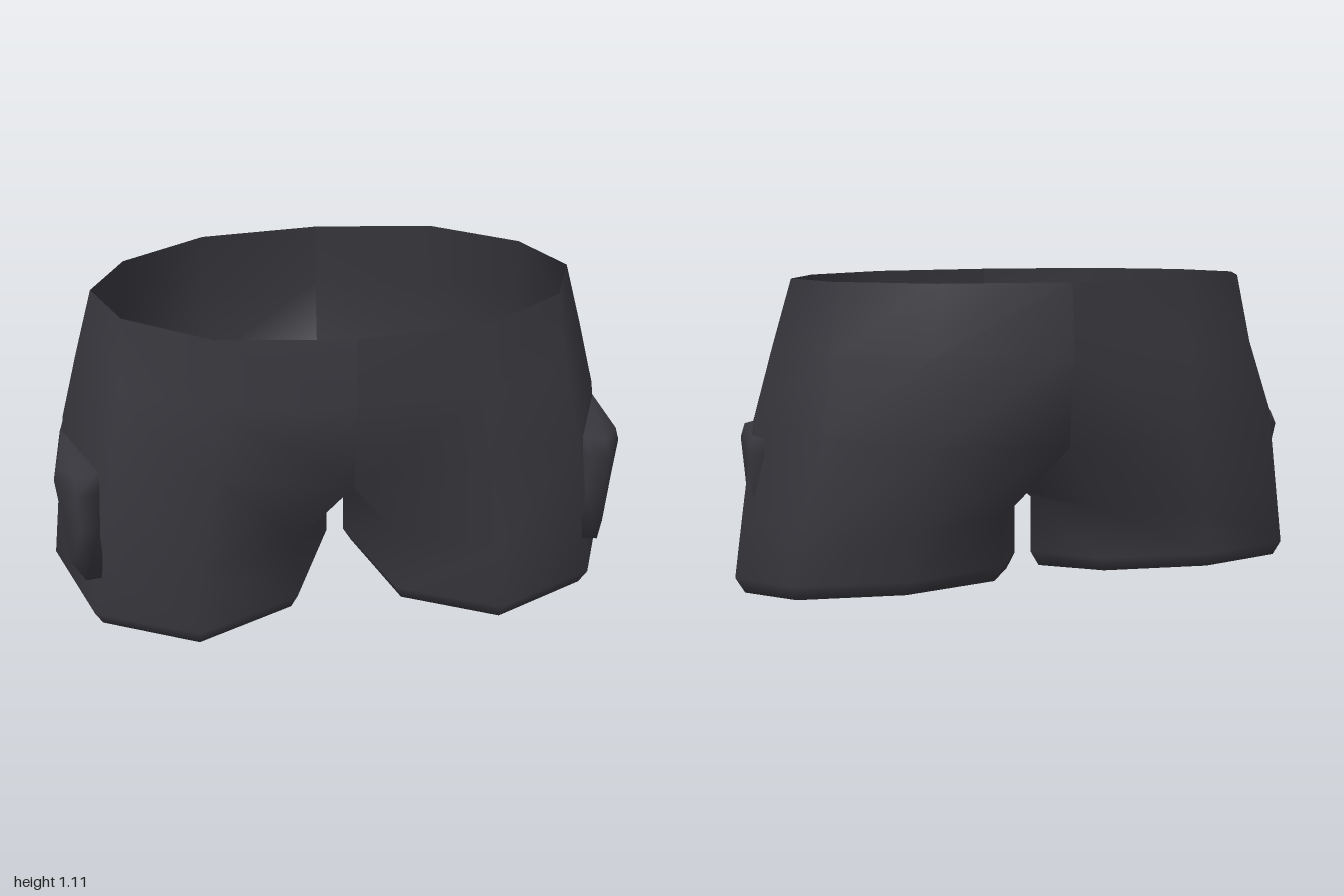
import * as THREE from 'three';

const cloth = new THREE.MeshStandardMaterial({ color: 0x36363c, side: THREE.DoubleSide });
cloth.name = 'charcoal cloth';

// Skin rings of equal length, listed top to bottom; side -1 mirrors across x.
// Rings before closeFrom stay open (their last point is unused).
function loft(rings, side, closeFrom = 0, caps = false) {
  const n = rings[0].length;
  const pos = rings.flat().flatMap(([x, y, z]) => [x * side, y, z]);
  const index = [];
  const tri = (a, b, c) => (side > 0 ? index.push(a, b, c) : index.push(a, c, b));
  for (let r = 0; r < rings.length - 1; r++) {
    const open = r < closeFrom;
    for (let i = 0; i < (open ? n - 2 : n); i++) {
      const a = r * n + i, b = r * n + (i + 1) % n;
      tri(a, a + n, b);
      tri(b, a + n, b + n);
    }
  }
  if (caps) {
    const last = (rings.length - 1) * n;
    for (let i = 1; i < n - 1; i++) {
      tri(0, i, i + 1);
      tri(last, last + i + 1, last + i);
    }
  }
  const geo = new THREE.BufferGeometry();
  geo.setAttribute('position', new THREE.Float32BufferAttribute(pos, 3));
  geo.setIndex(index);
  geo.computeVertexNormals();
  return geo;
}

// Half ring round the hips: centre front, round the side, centre back, crotch.
// yBack and zBack place the back corner, yMid the centre seam.
function hipRing(y, zMid, x2, z2, x3, z3, x4, yBack = y, zBack = z2, yMid = y) {
  return [[0, yMid, zMid], [x2, y, z2], [x3, y, z3], [x4, y, 0],
    [x3, y, -z3], [x2, yBack, -zBack], [0, yMid, -zMid], [0, 0.355, 0]];
}

// Eight-sided leg ring, sloping up towards the back
function legRing(y, slope, cx, rx, cz, rz) {
  return Array.from({ length: 8 }, (_, i) => {
    const a = (i + 1) * Math.PI / 4;
    const z = cz + rz * Math.sin(a);
    return [cx - rx * Math.cos(a), y - slope * z, z];
  });
}

function pocketRing(y, outer, front, back) {
  return [[outer, back], [outer, 0.24], [0.87, front], [0.81, front - 0.01],
    [0.735, 0.13], [0.735, 0.04], [0.85, back]].map(([x, z]) => [x, y, z]);
}

export function createModel() {
  const group = new THREE.Group();
  const add = (name, geo) => {
    const mesh = new THREE.Mesh(geo, cloth);
    mesh.name = name;
    group.add(mesh);
  };

  const shortsRings = [
    // waist and hips, down to where the legs part
    hipRing(1.11, 0.48, 0.41, 0.43, 0.685, 0.235, 0.785),
    hipRing(0.89, 0.5, 0.42, 0.442, 0.71, 0.29, 0.853),
    hipRing(0.66, 0.465, 0.43, 0.475, 0.75, 0.375, 0.92, 0.61, 0.452, 0.595),
    // leg, hem and turned-in edge
    legRing(0.33, 0.05, 0.5, 0.47, 0.013, 0.447),
    legRing(0.13, 0.158, 0.515, 0.485, 0.015, 0.443),
    legRing(0.077, 0.18, 0.515, 0.455, 0.0125, 0.418),
    legRing(0.175, 0.18, 0.495, 0.285, 0.005, 0.295),
  ];

  // side pockets, partly sunk into the legs
  const pocketRings = [
    pocketRing(0.607, 0.93, 0.315, -0.065),
    pocketRing(0.56, 0.945, 0.355, -0.08),
    pocketRing(0.43, 0.936, 0.352, -0.05),
    pocketRing(0.23, 0.925, 0.345, 0),
  ];

  for (const [side, label] of [[1, 'left'], [-1, 'right']]) {
    add(label + 'ShortsHalf', loft(shortsRings, side, 2));
    add(label + 'Pocket', loft(pocketRings, -side, 0, true).scale(-1, 1, 1));
  }
  return group;
}
